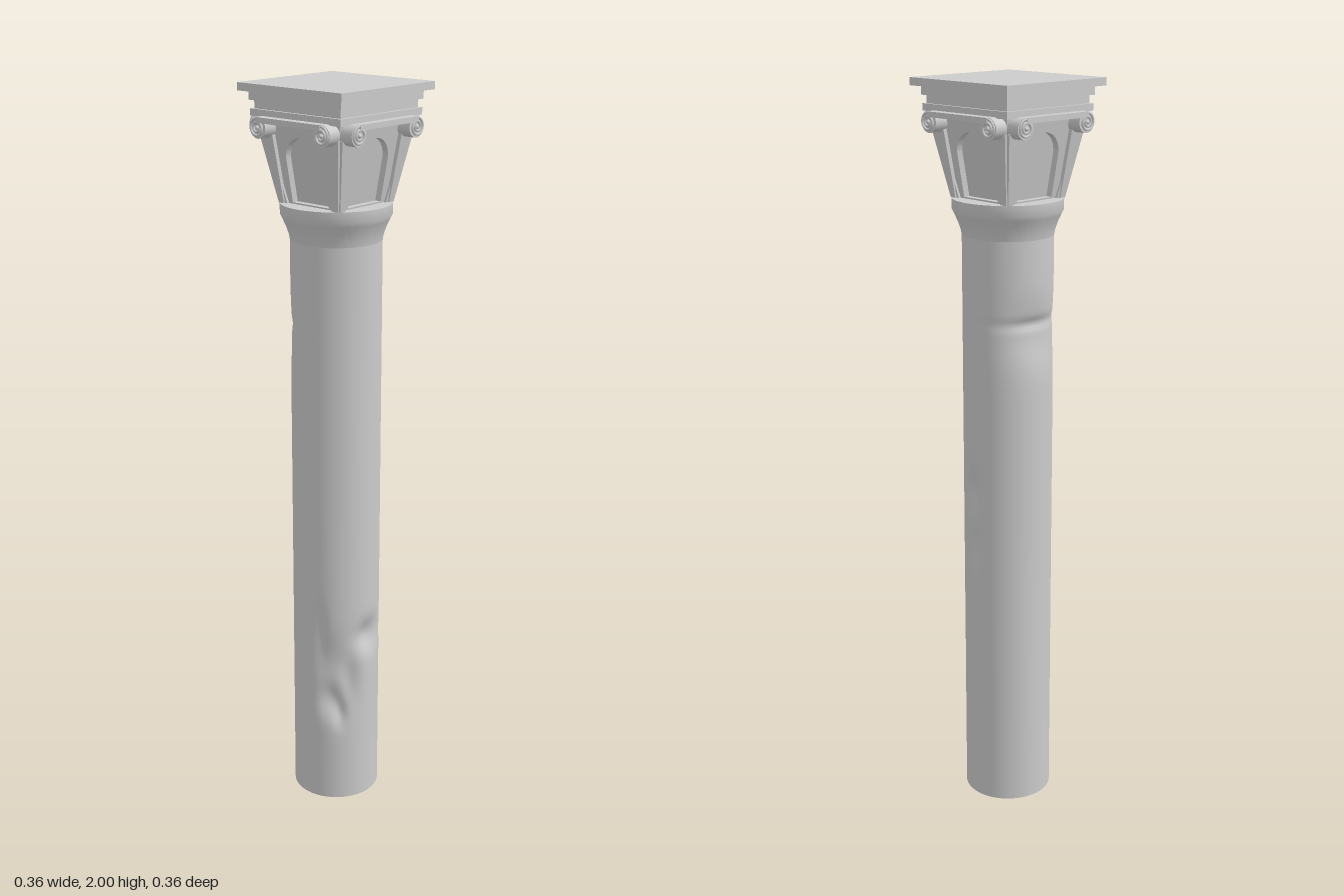
import * as THREE from 'three';
import { mergeVertices, toCreasedNormals } from 'three/addons/utils/BufferGeometryUtils.js';

const material = new THREE.MeshStandardMaterial({ color: 0xcccccc });
const V2 = (x, y) => new THREE.Vector2(x, y);

function add(parent, name, geometry, x = 0, y = 0, z = 0) {
  const mesh = new THREE.Mesh(geometry, material);
  mesh.name = name;
  mesh.position.set(x, y, z);
  parent.add(mesh);
  return mesh;
}

// Weathering: [azimuth from +z toward +x in degrees, y, spread in degrees, spread in y, depth]
const dents = [
  [-95, 1.36, 42, 0.075, 0.016], // broad hollow on the left
  [-95, 1.385, 48, 0.014, 0.009], // broken ledge in it
  [36, 0.31, 16, 0.05, 0.018],
  [48, 0.27, 9, 0.04, 0.012],
  [35, 0.43, 24, 0.08, 0.01],
  [92, 0.5, 22, 0.045, 0.022],
  [62, 0.37, 14, 0.08, 0.014],
  [20, 0.52, 9, 0.09, 0.005],
  [172, 0.92, 11, 0.06, 0.014], // chips on the back
  [176, 0.77, 8, 0.06, 0.008],
];

function dentDepth(azimuth, y) {
  let depth = 0;
  for (const [a, cy, sa, sy, d] of dents) {
    const da = ((azimuth - a + 540) % 360) - 180;
    depth += d * Math.exp(-((da / sa) ** 2) - ((y - cy) / sy) ** 2);
  }
  return Math.min(depth, 0.032);
}

function shaftGeometry() {
  const profile = [];
  for (let i = 0; i <= 180; i++) profile.push(V2(0.12, (1.61 * i) / 180));
  let g = new THREE.LatheGeometry(profile, 96);
  const p = g.attributes.position;
  for (let i = 0; i < p.count; i++) {
    const x = p.getX(i), y = p.getY(i), z = p.getZ(i);
    const s = 1 - dentDepth(THREE.MathUtils.radToDeg(Math.atan2(x, z)), y) / 0.12;
    p.setXYZ(i, x * s, y, z * s);
  }
  g.deleteAttribute('uv');
  g.deleteAttribute('normal');
  g = mergeVertices(g, 1e-5);
  g.computeVertexNormals();
  return g;
}

// Extrude to the given depth, then lean outward with height to follow the bell
const SLOPE = 0.2;
function leaningExtrude(shape, depth, front) {
  const g = new THREE.ExtrudeGeometry(shape, { depth, bevelEnabled: false, curveSegments: 16 });
  g.translate(0, 0, front - depth);
  const p = g.attributes.position;
  for (let i = 0; i < p.count; i++) p.setZ(i, p.getZ(i) + SLOPE * p.getY(i));
  g.computeVertexNormals();
  return toCreasedNormals(g, 0.6);
}

// One face of the capital: arched panel, corner brackets, scrolls
function capitalFace() {
  const face = new THREE.Group();
  face.name = 'capitalFace';

  const panel = new THREE.Shape([V2(-0.095, 0), V2(0.095, 0), V2(0.139, 0.22), V2(-0.139, 0.22)]);
  const arch = new THREE.Path();
  arch.moveTo(-0.062, 0.004);
  arch.lineTo(-0.062, 0.112);
  arch.absarc(0, 0.112, 0.062, Math.PI, 0, true);
  arch.lineTo(0.062, 0.004);
  arch.closePath();
  panel.holes.push(arch);
  add(face, 'archedPanel', leaningExtrude(panel, 0.02, 0.095), 0, 1.7, 0);

  add(face, 'scrollBand', new THREE.BoxGeometry(0.216, 0.014, 0.06), 0, 1.914, 0.148);

  for (const s of [-1, 1]) {
    const outline = [V2(0.084, 0), V2(0.102, 0), V2(0.134, 0.18), V2(0.088, 0.18)];
    const bracket = new THREE.Shape(outline.map((v) => V2(v.x * s, v.y)));
    add(face, 'cornerBracket', leaningExtrude(bracket, 0.03, 0.106), 0, 1.7, 0);

    const scroll = new THREE.Group();
    scroll.name = 'scroll';
    scroll.position.set(s * 0.108, 1.894, 0);
    face.add(scroll);
    const drum = new THREE.CylinderGeometry(0.027, 0.027, 0.06, 28).rotateX(Math.PI / 2);
    add(scroll, 'scrollDrum', drum, 0, 0, 0.142);
    // Spiral ridge winding in to the eye
    const spiral = [];
    for (let i = 0; i <= 32; i++) {
      const t = i / 32, a = Math.PI / 2 - s * t * Math.PI * 3.5, r = 0.0235 - 0.016 * t;
      spiral.push(new THREE.Vector3(r * Math.cos(a), r * Math.sin(a), 0.174));
    }
    add(scroll, 'scrollSpiral', new THREE.TubeGeometry(new THREE.CatmullRomCurve3(spiral), 64, 0.0035, 6));
    add(scroll, 'scrollEye', new THREE.SphereGeometry(0.006, 12, 8), 0, 0, 0.173);
  }
  return face;
}

export function createModel() {
  const column = new THREE.Group();
  column.name = 'column';

  // Shaft with worn hollows, closed underneath
  add(column, 'shaft', shaftGeometry());
  add(column, 'shaftBase', new THREE.CircleGeometry(0.12, 96).rotateX(Math.PI / 2));

  // Flared collar
  const flare = [V2(0.12, 1.605), V2(0.123, 1.62), V2(0.13, 1.64), V2(0.139, 1.66),
    V2(0.145, 1.672), V2(0.145, 1.7), V2(0, 1.7)];
  add(column, 'collar', toCreasedNormals(new THREE.LatheGeometry(flare, 96), 0.6));

  // Capital core behind the arches
  const capital = new THREE.Group();
  capital.name = 'capital';
  column.add(capital);
  const core = new THREE.CylinderGeometry(0.121 * Math.SQRT2, 0.077 * Math.SQRT2, 0.22, 4, 1)
    .rotateY(Math.PI / 4).toNonIndexed();
  core.computeVertexNormals();
  add(capital, 'capitalCore', core, 0, 1.81, 0);
  for (let i = 0; i < 4; i++) {
    const face = capitalFace();
    face.rotation.y = (i * Math.PI) / 2;
    capital.add(face);
  }

  // Stepped square top: [half width, bottom, top]
  const steps = [[0.153, 1.918, 1.936], [0.145, 1.936, 1.957], [0.155, 1.957, 1.98], [0.175, 1.98, 2]];
  for (const [h, y0, y1] of steps) {
    add(capital, 'abacusStep', new THREE.BoxGeometry(2 * h, y1 - y0, 2 * h), 0, (y0 + y1) / 2, 0);
  }
  return column;
}
